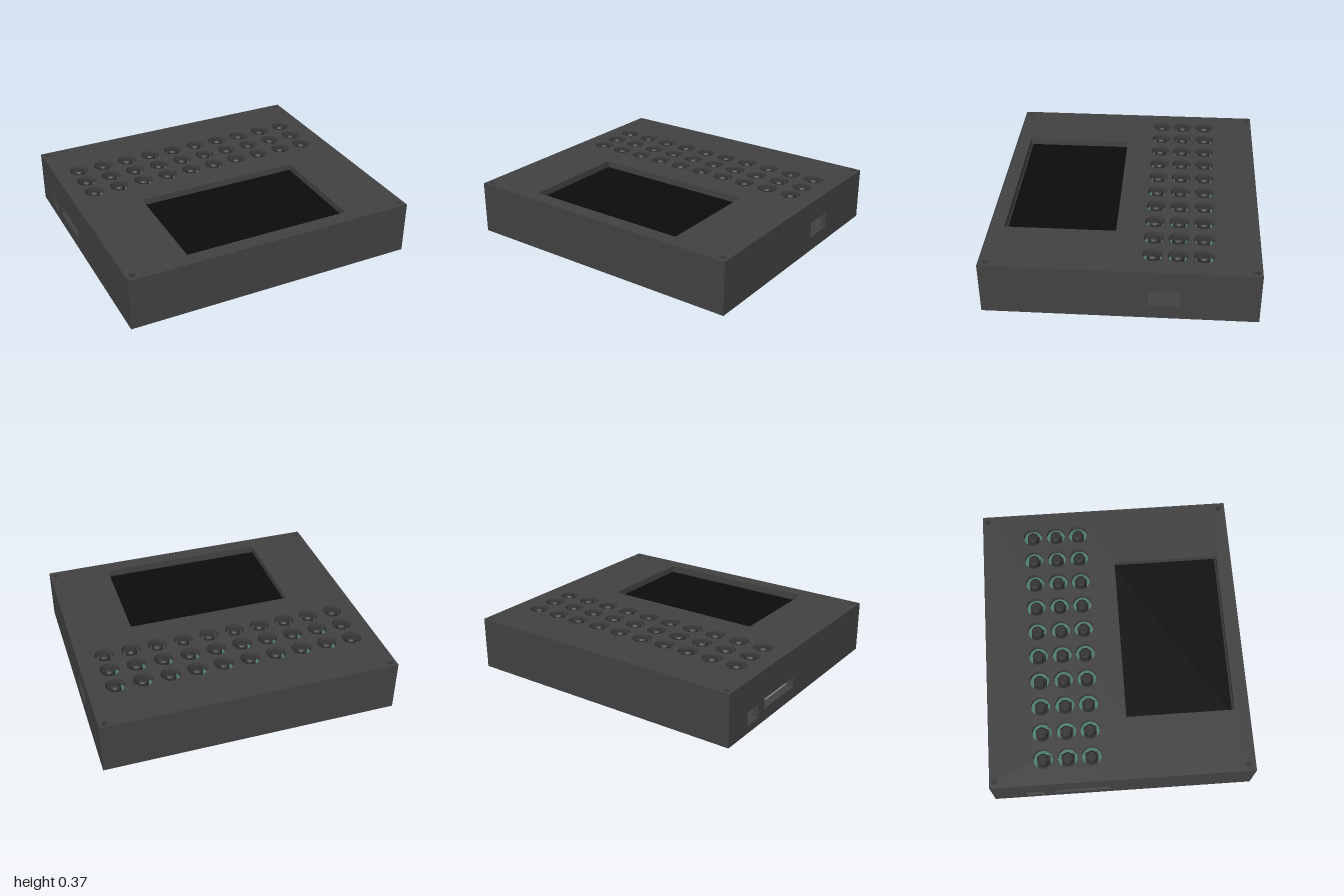
import * as THREE from 'three';

const mat = (name, color, side = THREE.FrontSide) => {
  const m = new THREE.MeshStandardMaterial({ color, side });
  m.name = name;
  return m;
};

export function createModel() {
  const root = new THREE.Group();
  root.name = 'keypadConsole';
  const caseGrey = mat('case charcoal', 0x424242);
  const screenBlack = mat('screen black', 0x0c0c0c);
  const boardGreen = mat('board green', 0x4c7c69);
  const switchGrey = mat('switch dark grey', 0x333333);
  const metal = mat('connector light grey', 0xb4b4b0);

  const W = 2, D = 1.77, H = 0.36, wall = 0.04, lidY = 0.315;

  const add = (name, geo, material, x = 0, y = 0, z = 0, parent = root) => {
    const m = new THREE.Mesh(geo, material);
    m.name = name;
    m.position.set(x, y, z);
    parent.add(m);
    return m;
  };
  // Box given by its extents on each axis
  const span = (name, material, x0, x1, y0, y1, z0, z1) =>
    add(name, new THREE.BoxGeometry(x1 - x0, y1 - y0, z1 - z0), material,
      (x0 + x1) / 2, (y0 + y1) / 2, (z0 + z1) / 2);
  const rect = (Type, x0, x1, y0, y1) => {
    const s = new Type();
    s.moveTo(x0, y0); s.lineTo(x1, y0); s.lineTo(x1, y1); s.lineTo(x0, y1); s.closePath();
    return s;
  };
  const circle = (x, y, r) => {
    const p = new THREE.Path();
    p.absarc(x, y, r, 0, Math.PI * 2, true);
    return p;
  };
  const extrude = (shape, depth) =>
    new THREE.ExtrudeGeometry(shape, { depth, bevelEnabled: false, curveSegments: 14 });

  // Button grid and corner screws
  const buttons = [];
  for (const z of [-0.525, -0.36, -0.2])
    for (let i = 0; i < 10; i++) buttons.push([-0.826 + i * 0.1825, z]);
  const screws = [];
  for (const x of [-0.957, 0.957]) for (const z of [-0.85, 0.837]) screws.push([x, z]);

  // Lid with screen window, button holes and screw holes
  const lid = rect(THREE.Shape, -W / 2, W / 2, -D / 2, D / 2);
  lid.holes.push(rect(THREE.Path, -0.575, 0.575, -0.785, -0.05));
  buttons.forEach(([x, z]) => lid.holes.push(circle(x, -z, 0.066)));
  screws.forEach(([x, z]) => lid.holes.push(circle(x, -z, 0.02)));
  add('lid', extrude(lid, H - lidY).rotateX(-Math.PI / 2), caseGrey, 0, lidY, 0);

  // Floor, front and back walls
  span('floor', caseGrey, -W / 2, W / 2, 0, 0.03, -D / 2, D / 2);
  span('frontWall', caseGrey, -W / 2, W / 2, 0.03, lidY, D / 2 - wall, D / 2);
  span('backWall', caseGrey, -W / 2, W / 2, 0.03, lidY, -D / 2, -D / 2 + wall);

  // Side walls with port openings: [z0, z1, y0, y1]
  const sideWall = (name, x, ports) => {
    const s = rect(THREE.Shape, -D / 2 + wall, D / 2 - wall, 0.03, lidY);
    ports.forEach(([z0, z1, y0, y1]) => s.holes.push(rect(THREE.Path, -z1, -z0, y0, y1)));
    add(name, extrude(s, wall).rotateY(Math.PI / 2), caseGrey, x, 0, 0);
  };
  sideWall('leftWall', W / 2 - wall, [[-0.385, -0.17, 0.1, 0.21]]);
  sideWall('rightWall', -W / 2, [[-0.67, -0.54, 0.055, 0.15], [-0.47, -0.09, 0.085, 0.156]]);

  // Display panel under the window
  span('screen', screenBlack, -0.6, 0.6, 0.27, lidY, 0.03, 0.772);
  span('screenFrame', switchGrey, -0.6, 0.6, 0.26, 0.3, 0.772, 0.82);

  // Circuit boards and connectors inside
  span('buttonBoard', boardGreen, -0.93, 0.93, 0.2, 0.22, -0.64, -0.09);
  span('mainBoard', switchGrey, -0.85, 0.7, 0.13, 0.14, -0.7, -0.05);
  span('portConnector', metal, 0.55, 0.7, 0.08, 0.13, -0.42, -0.14);
  for (let i = 0; i < 8; i++) {
    const z = -0.455 + i * 0.045;
    span('pinConnector', metal, -0.95, -0.85, 0.09, 0.13, z, z + 0.036);
  }

  // Tactile switches: body, corner pegs and tapered plunger
  const bodyGeo = new THREE.BoxGeometry(0.088, 0.05, 0.088);
  const pegGeo = new THREE.CylinderGeometry(0.01, 0.01, 0.008, 8);
  const legGeo = new THREE.BoxGeometry(0.11, 0.02, 0.018);
  const plungerGeo = new THREE.CylinderGeometry(0.028, 0.037, 0.012, 20);
  const stemGeo = new THREE.CylinderGeometry(0.037, 0.037, 0.085, 20);
  buttons.forEach(([x, z]) => {
    const g = new THREE.Group();
    g.name = 'button';
    g.position.set(x, 0.22, z);
    root.add(g);
    add('switchBody', bodyGeo, switchGrey, 0, 0.025, 0, g);
    add('buttonStem', stemGeo, switchGrey, 0, 0.0915, 0, g);
    add('buttonCap', plungerGeo, switchGrey, 0, 0.14, 0, g);
    for (const sz of [-1, 1]) {
      add('switchLeg', legGeo, switchGrey, 0, 0.01, sz * 0.03, g);
      for (const sx of [-1, 1]) add('switchPeg', pegGeo, switchGrey, sx * 0.032, 0.054, sz * 0.032, g);
    }
  });

  // Recessed corner screws
  const screwGeo = new THREE.CylinderGeometry(0.02, 0.02, 0.035, 14);
  screws.forEach(([x, z]) => add('screw', screwGeo, switchGrey, x, 0.3325, z));

  return root;
}
